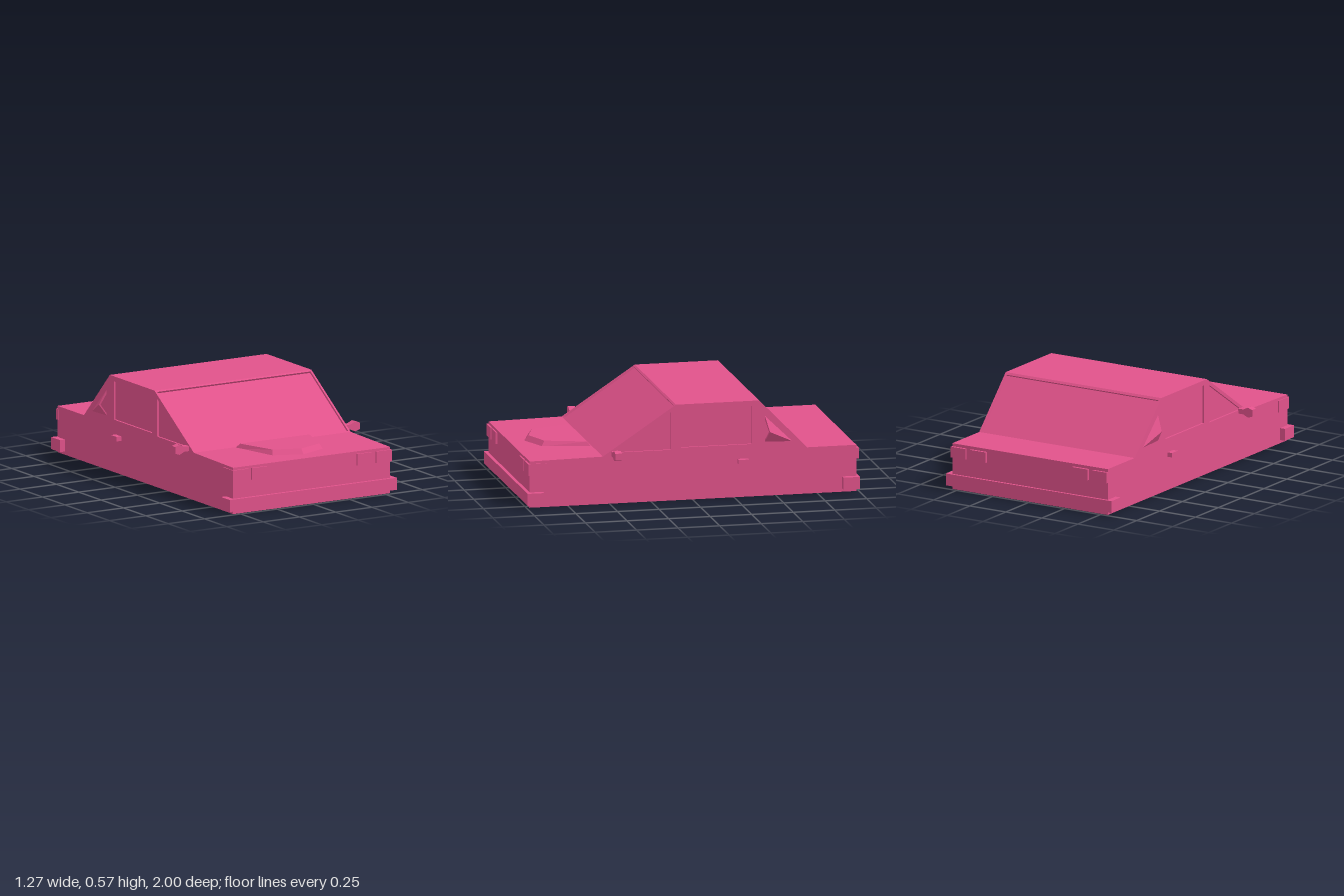
import * as THREE from 'three';

const paint = new THREE.MeshStandardMaterial({ color: 0xe0528a, flatShading: true, side: THREE.DoubleSide });

const V = (points) => points.map(([a, b]) => new THREE.Vector2(a, b));

// Side profile given as (z, y), extruded across x and centred on xCentre
function sideExtrude(points, width, xCentre = 0, holes = []) {
  const shape = new THREE.Shape(V(points));
  holes.forEach((h) => shape.holes.push(new THREE.Path(V(h))));
  const g = new THREE.ExtrudeGeometry(shape, { depth: width, bevelEnabled: false });
  return g.translate(0, 0, -width / 2).rotateY(-Math.PI / 2).translate(xCentre, 0, 0);
}

// Four points that sink a recess into the edge a -> b
function recess([az, ay], [bz, by], from, to, depth) {
  const dz = bz - az, dy = by - ay, len = Math.hypot(dz, dy);
  const at = (t, d) => [az + dz * t - (-dy / len) * -d, ay + dy * t + (dz / len) * d];
  return [at(from, 0), at(from, depth), at(to, depth), at(to, 0)];
}

// Flat-faced surface from corners and polygons (each a convex fan)
function facets(corners, polygons) {
  const pos = [];
  for (const p of polygons) {
    for (let i = 1; i < p.length - 1; i++) {
      pos.push(...corners[p[0]], ...corners[p[i]], ...corners[p[i + 1]]);
    }
  }
  const g = new THREE.BufferGeometry();
  g.setAttribute('position', new THREE.Float32BufferAttribute(pos, 3));
  g.computeVertexNormals();
  return g;
}

export function createModel() {
  const car = new THREE.Group();
  car.name = 'car';
  const add = (name, geometry) => {
    const mesh = new THREE.Mesh(geometry, paint);
    mesh.name = name;
    car.add(mesh);
  };
  const box = (name, x0, x1, y0, y1, z0, z1) =>
    add(name, new THREE.BoxGeometry(Math.abs(x1 - x0), y1 - y0, z1 - z0)
      .translate((x0 + x1) / 2, (y0 + y1) / 2, (z0 + z1) / 2));

  // Body core with sunken windscreen and rear window
  const half = 0.54, skin = 0.012;
  const cowl = [0.54, 0.285], roofFront = [0.1, 0.575];
  const roofBack = [-0.4, 0.575], deck = [-0.69, 0.278];
  const tail = [[-0.985, 0.278], [-0.985, 0]];
  const nose = [[0.98, 0], [0.98, 0.278]];
  add('body', sideExtrude([
    ...nose, cowl, ...recess(cowl, roofFront, 0.02, 0.975, 0.012), roofFront,
    roofBack, ...recess(roofBack, deck, 0.04, 0.96, 0.012), deck, ...tail,
  ], 2 * (half - skin)));

  // Side skins with window openings
  const frontWindow = [[0.475, 0.305], [0.13, 0.305], [0.13, 0.53]];
  const rearWindow = [[0.07, 0.315], [-0.355, 0.315], [-0.355, 0.545], [0.07, 0.545]];
  const outline = [...nose, cowl, roofFront, roofBack, deck, ...tail];

  for (const s of [1, -1]) {
    const side = s > 0 ? 'left' : 'right';
    add(side + 'SidePanel', sideExtrude(outline, skin, s * (half - skin / 2), [frontWindow, rearWindow]));

    // Door mirror: thin stalk flaring into a faceted head
    const mirror = new THREE.Shape(V([
      [0.535, 0.285], [0.572, 0.285], [0.605, 0.27], [0.635, 0.28],
      [0.635, 0.32], [0.605, 0.33], [0.572, 0.315], [0.535, 0.315],
    ]));
    const mirrorGeo = new THREE.ExtrudeGeometry(mirror, { depth: 0.04, bevelEnabled: false }).translate(0, 0, 0.447);
    if (s < 0) mirrorGeo.rotateY(Math.PI).translate(0, 0, 0.934);
    add(side + 'Mirror', mirrorGeo);

    box(side + 'DoorHandle', s * 0.535, s * 0.573, 0.203, 0.23, -0.333, -0.27);

    // Lamps, two per corner
    box(side + 'FrontCornerLamp', s * 0.44, s * 0.546, 0.193, 0.263, 0.88, 0.99);
    box(side + 'Headlamp', s * 0.31, s * 0.416, 0.193, 0.263, 0.95, 0.99);
    box(side + 'TailLamp', s * 0.44, s * 0.541, 0.195, 0.26, -1, -0.97);
    box(side + 'InnerTailLamp', s * 0.3, s * 0.41, 0.195, 0.26, -1, -0.97);

    // Rear quarter intake: hollow wedge open towards the front
    const x = s * half;
    add(side + 'Intake', facets([
      [x, 0.48, -0.435], [x, 0.325, -0.435], [x, 0.32, -0.6], [s * 0.58, 0.39, -0.457],
      [x, 0.455, -0.436], [x, 0.338, -0.436], [s * 0.571, 0.389, -0.453], [x, 0.34, -0.56],
    ], [
      [0, 3, 2], [3, 1, 2], // outer faces
      [0, 4, 6, 3], [3, 6, 5, 1], // rim
      [4, 7, 6], [6, 7, 5], // inner faces
    ]));
  }

  // Bumpers
  box('frontBumper', -0.575, 0.575, 0.02, 0.092, 0.9, 1);
  box('rearBumper', -0.575, 0.575, 0.02, 0.092, -1, -0.9);

  // Bonnet bulge with sloping sides
  const base = [[-0.26, 0.54], [-0.175, 0.825], [0, 0.89], [0.175, 0.825], [0.26, 0.54]];
  const top = [[-0.238, 0.568], [-0.16, 0.805], [0, 0.865], [0.16, 0.805], [0.238, 0.568]];
  const corners = [...base.map(([x, z]) => [x, 0.278, z]), ...top.map(([x, z]) => [x, 0.31, z])];
  const walls = base.map((_, i) => [i, (i + 1) % 5, 5 + ((i + 1) % 5), 5 + i]);
  add('bonnetBulge', facets(corners, [...walls, [5, 6, 7, 8, 9]]));

  return car;
}
